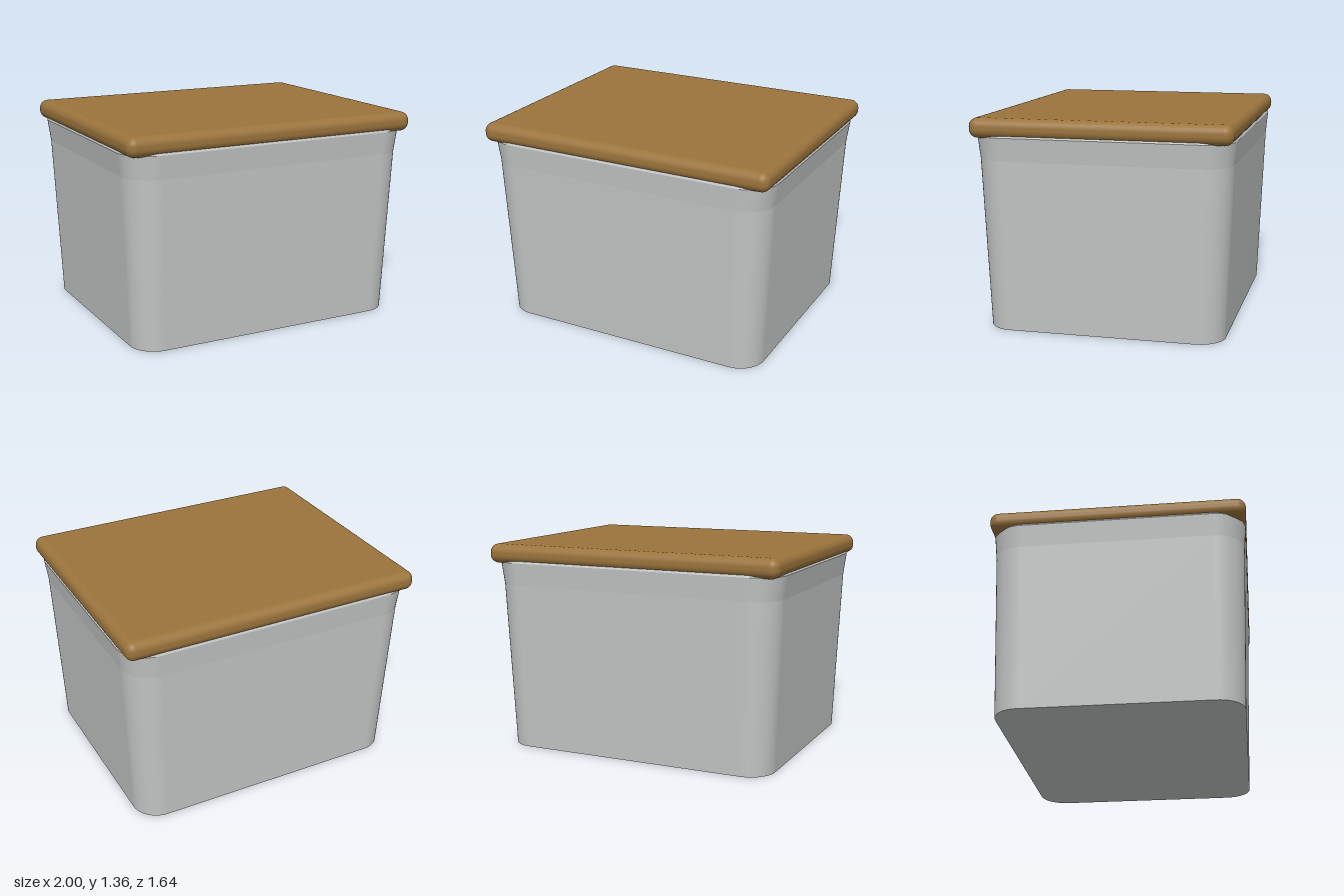
import * as THREE from 'three';
import { mergeGeometries } from 'three/addons/utils/BufferGeometryUtils.js';
import { RoundedBoxGeometry } from 'three/addons/geometries/RoundedBoxGeometry.js';

const CORNER_STEPS = 12;

// Outline of a rounded rectangle in the xz plane, ordered from +x towards +z
function outline({ x, z, r, y }) {
  const points = [];
  const signs = [[1, 1], [-1, 1], [-1, -1], [1, -1]];
  signs.forEach(([sx, sz], corner) => {
    for (let i = 0; i <= CORNER_STEPS; i++) {
      const a = (corner + i / CORNER_STEPS) * Math.PI / 2;
      points.push([sx * (x - r) + r * Math.cos(a), y, sz * (z - r) + r * Math.sin(a)]);
    }
  });
  return points;
}

// Wall between two outlines, smooth around the corners
function band(lower, upper) {
  const a = outline(lower), b = outline(upper), n = a.length;
  const index = [];
  for (let i = 0; i < n; i++) {
    const j = (i + 1) % n;
    index.push(i, n + i, j, j, n + i, n + j);
  }
  const geometry = new THREE.BufferGeometry();
  geometry.setAttribute('position', new THREE.Float32BufferAttribute([...a, ...b].flat(), 3));
  geometry.setIndex(index);
  geometry.computeVertexNormals();
  return geometry;
}

// Flat cap filling an outline, facing up or down
function cap(section, up) {
  const ring = outline(section), n = ring.length;
  const index = [];
  for (let i = 0; i < n; i++) {
    const j = (i + 1) % n;
    index.push(n, up ? j : i, up ? i : j);
  }
  const geometry = new THREE.BufferGeometry();
  const points = [...ring, [0, section.y, 0]].flat();
  geometry.setAttribute('position', new THREE.Float32BufferAttribute(points, 3));
  geometry.setIndex(index);
  geometry.computeVertexNormals();
  return geometry;
}

export function createModel() {
  const greyTub = new THREE.MeshStandardMaterial({ color: 0xc2c6c4 });
  greyTub.name = 'greyTub';
  const brownWood = new THREE.MeshStandardMaterial({ color: 0x9b743c });
  brownWood.name = 'brownWood';

  const model = new THREE.Group();
  model.name = 'liddedBox';

  // Tapered tub: base, start of the flare, rim edge, rim top
  const sections = [
    { y: 0, x: 0.925, z: 0.762, r: 0.17 },
    { y: 1.09, x: 0.972, z: 0.802, r: 0.19 },
    { y: 1.237, x: 0.992, z: 0.815, r: 0.2 },
    { y: 1.252, x: 0.984, z: 0.807, r: 0.195 },
  ];
  const parts = [cap(sections[0], false), cap(sections[3], true)];
  for (let i = 0; i < sections.length - 1; i++) parts.push(band(sections[i], sections[i + 1]));
  const tub = new THREE.Mesh(mergeGeometries(parts), greyTub);
  tub.name = 'tub';
  model.add(tub);

  // Lid slab with rounded edges, seated over the rim
  const lid = new THREE.Mesh(new RoundedBoxGeometry(2, 0.125, 1.64, 6, 0.055), brownWood);
  lid.name = 'lid';
  lid.position.y = 1.2925;
  model.add(lid);

  return model;
}
